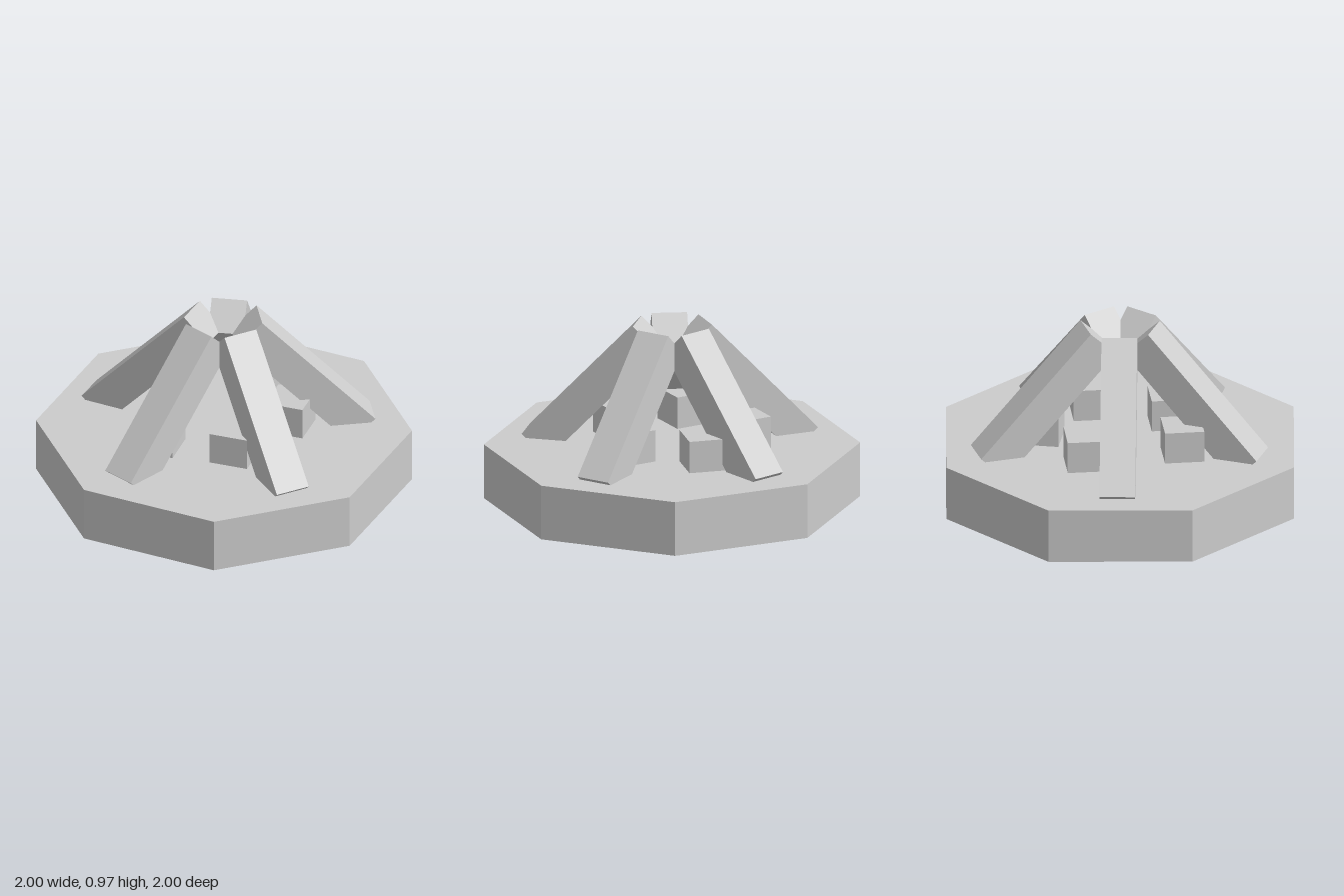
import * as THREE from 'three';

export function createModel() {
  const model = new THREE.Group();
  const stone = new THREE.MeshStandardMaterial({ color: 0xcccccc });
  stone.name = 'pale grey';
  stone.flatShading = true;

  function add(parent, name, geometry) {
    const mesh = new THREE.Mesh(geometry, stone);
    mesh.name = name;
    parent.add(mesh);
    return mesh;
  }

  // Octagonal slab with corners on the axes
  add(model, 'base', new THREE.CylinderGeometry(1, 1, 0.3, 8)).position.y = 0.15;

  // Five square beams leaning together, feet sunk into the base
  for (let i = 0; i < 5; i++) {
    const arm = new THREE.Group();
    arm.name = 'leaningBeam' + (i + 1);
    arm.rotation.y = THREE.MathUtils.degToRad(84.3 - 72 * i);
    const beam = add(arm, 'beam', new THREE.BoxGeometry(0.89, 0.19, 0.19));
    beam.position.set(0.426, 0.58, 0);
    beam.rotation.z = -Math.atan2(0.65, 0.61);
    model.add(arm);
  }

  // Small blocks under the beams: x, z, turn in degrees
  const blocks = [
    [0.156, -0.385, 31.5],
    [0.352, -0.019, 16.5],
    [0.074, 0.314, 16],
    [-0.327, 0.223, 16],
    [-0.24, -0.3, 16.5],
  ];
  blocks.forEach(([x, z, turn], i) => {
    const block = add(model, 'block' + (i + 1), new THREE.BoxGeometry(0.21, 0.21, 0.21));
    block.position.set(x, 0.37, z);
    block.rotation.y = -THREE.MathUtils.degToRad(turn);
  });

  return model;
}
